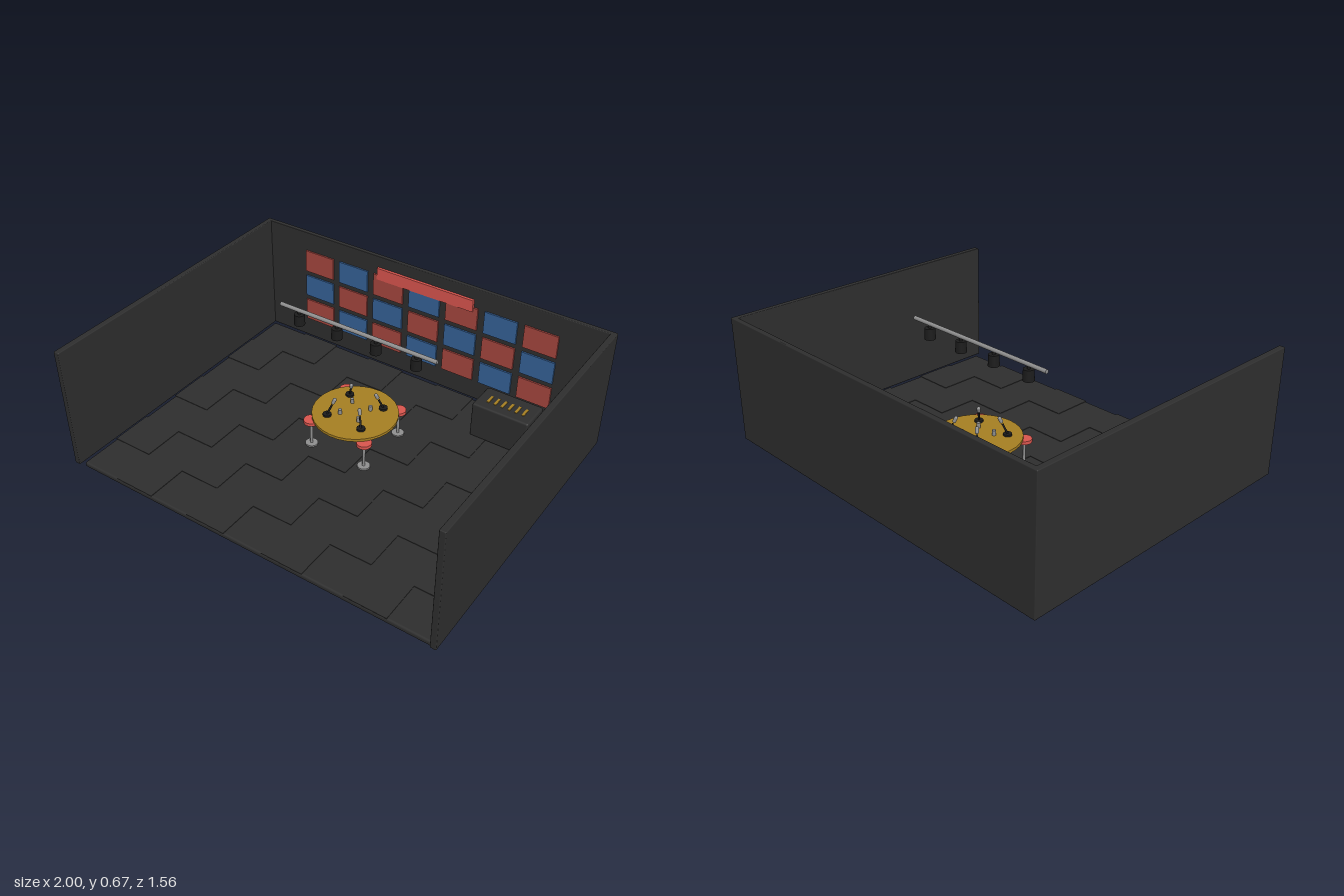
import * as THREE from 'three';
import { RoundedBoxGeometry } from 'three/addons/geometries/RoundedBoxGeometry.js';

const mat = (name, color) => {
  const m = new THREE.MeshStandardMaterial({ color });
  m.name = name;
  return m;
};

export function createModel() {
  const charcoal = mat('charcoal', 0x2e2e2e);
  const black = mat('black', 0x1c1c1c);
  const gold = mat('gold', 0xa67f22);
  const coral = mat('coral red', 0xd9554e);
  const panelRed = mat('panel red', 0xa5463f);
  const panelBlue = mat('panel blue', 0x356197);
  const steel = mat('steel', 0x8f8f8f);

  const model = new THREE.Group();
  model.name = 'studioRoom';

  const add = (parent, name, geometry, material, x, y, z) => {
    const mesh = new THREE.Mesh(geometry, material);
    mesh.name = name;
    mesh.position.set(x, y, z);
    parent.add(mesh);
    return mesh;
  };
  // Box given by its minimum and maximum corners
  const box = (parent, name, material, a, b, radius = 0) => {
    const s = a.map((v, i) => b[i] - v);
    const c = a.map((v, i) => (b[i] + v) / 2);
    const g = radius ? new RoundedBoxGeometry(...s, 2, radius) : new THREE.BoxGeometry(...s);
    return add(parent, name, g, material, ...c);
  };
  // Upright cylinder given by its bottom and top height
  const post = (parent, name, material, r, y0, y1, x, z, rTop = r) =>
    add(parent, name, new THREE.CylinderGeometry(rTop, r, y1 - y0, 32), material, x, (y0 + y1) / 2, z);
  const group = (name, x = 0, z = 0) => {
    const g = new THREE.Group();
    g.name = name;
    g.position.set(x, 0, z);
    model.add(g);
    return g;
  };
  const corners = [[-1, -1], [1, -1], [1, 1], [-1, 1]];

  // Floor slab with slightly raised alternate tiles
  const floor = group('floor');
  box(floor, 'floorSlab', charcoal, [-0.967, 0, -0.752], [0.967, 0.028, 0.752], 0.01);
  const tile = 0.2148;
  for (let row = 0; row < 7; row++) {
    for (let col = 0; col < 9; col++) {
      if ((row + col) % 2 === 0) continue;
      add(floor, 'floorTile', new THREE.BoxGeometry(tile, 0.004, tile), charcoal,
        (col - 4) * tile, 0.029, (row - 3) * tile);
    }
  }

  // Three walls
  const walls = group('walls');
  box(walls, 'backWall', charcoal, [-1, 0.031, -0.782], [1, 0.673, -0.757], 0.004);
  for (const s of [-1, 1]) {
    const wall = box(walls, s > 0 ? 'leftWall' : 'rightWall', charcoal,
      [-0.015, 0.031, -0.78], [0.015, 0.673, 0.78], 0.004);
    wall.position.x = s * 0.985;
  }

  // Acoustic panels in alternating colours
  const panels = group('acousticPanels');
  for (let row = 0; row < 3; row++) {
    for (let col = 0; col < 7; col++) {
      add(panels, 'acousticPanel', new THREE.BoxGeometry(0.178, 0.123, 0.009),
        (row + col) % 2 ? panelBlue : panelRed, (col - 3) * 0.2155, 0.206 + row * 0.1505, -0.7525);
    }
  }
  box(model, 'wallSign', coral, [-0.28, 0.547, -0.757], [0.278, 0.612, -0.742]);

  // Lighting rail and hanging spotlights
  const lights = group('lightingRail', 0, -0.135);
  const rail = post(lights, 'rail', steel, 0.01, -0.43, 0.43, 0, 0);
  rail.rotation.z = Math.PI / 2;
  rail.position.y = 0.657;
  for (let i = 0; i < 4; i++) {
    const x = (i - 1.5) * 0.2155;
    post(lights, 'spotlight', black, 0.027, 0.582, 0.637, x, 0, 0.025);
    post(lights, 'spotlightStem', black, 0.008, 0.635, 0.652, x, 0);
  }

  // Round table
  const table = group('table', 0, -0.135);
  post(table, 'tableTop', gold, 0.212, 0.18, 0.194, 0, 0);
  post(table, 'tablePedestal', black, 0.025, 0.03, 0.18, 0, 0);

  // Microphones leaning towards the middle, with a small cup beside each
  for (const [sx, sz] of corners) {
    const mic = group('microphone', 0, -0.135);
    post(mic, 'microphoneBase', black, 0.021, 0.194, 0.204, sx * 0.098, sz * 0.098);
    const foot = new THREE.Vector3(sx * 0.098, 0.2, sz * 0.098);
    const neck = new THREE.Vector3(sx * 0.08, 0.255, sz * 0.08);
    const tip = new THREE.Vector3(sx * 0.074, 0.273, sz * 0.074);
    add(mic, 'microphoneArm', new THREE.TubeGeometry(new THREE.LineCurve3(foot, neck), 1, 0.005, 10), black, 0, 0, 0);
    const head = add(mic, 'microphoneHead', new THREE.CapsuleGeometry(0.009, 0.018, 6, 16), steel, tip.x, tip.y, tip.z);
    head.quaternion.setFromUnitVectors(new THREE.Vector3(0, 1, 0), tip.clone().sub(foot).normalize());
    post(mic, 'cup', steel, 0.009, 0.194, 0.22, sx * 0.053, sz * 0.053);
  }

  // Four stools around the table
  for (const [sx, sz] of corners) {
    const stool = group('stool', sx * 0.153, -0.135 + sz * 0.153);
    post(stool, 'stoolBase', steel, 0.031, 0.03, 0.038, 0, 0);
    post(stool, 'stoolPole', steel, 0.007, 0.036, 0.165, 0, 0);
    post(stool, 'stoolSeat', coral, 0.037, 0.162, 0.179, 0, 0);
  }

  // Control cabinet with a row of gold faders on top
  const cabinet = group('controlCabinet');
  box(cabinet, 'cabinetBody', charcoal, [0.45, 0.03, -0.647], [0.75, 0.225, -0.48], 0.01);
  for (let i = 0; i < 6; i++) {
    add(cabinet, 'fader', new THREE.BoxGeometry(0.013, 0.006, 0.053), gold, 0.509 + i * 0.0376, 0.226, -0.556);
  }

  return model;
}
